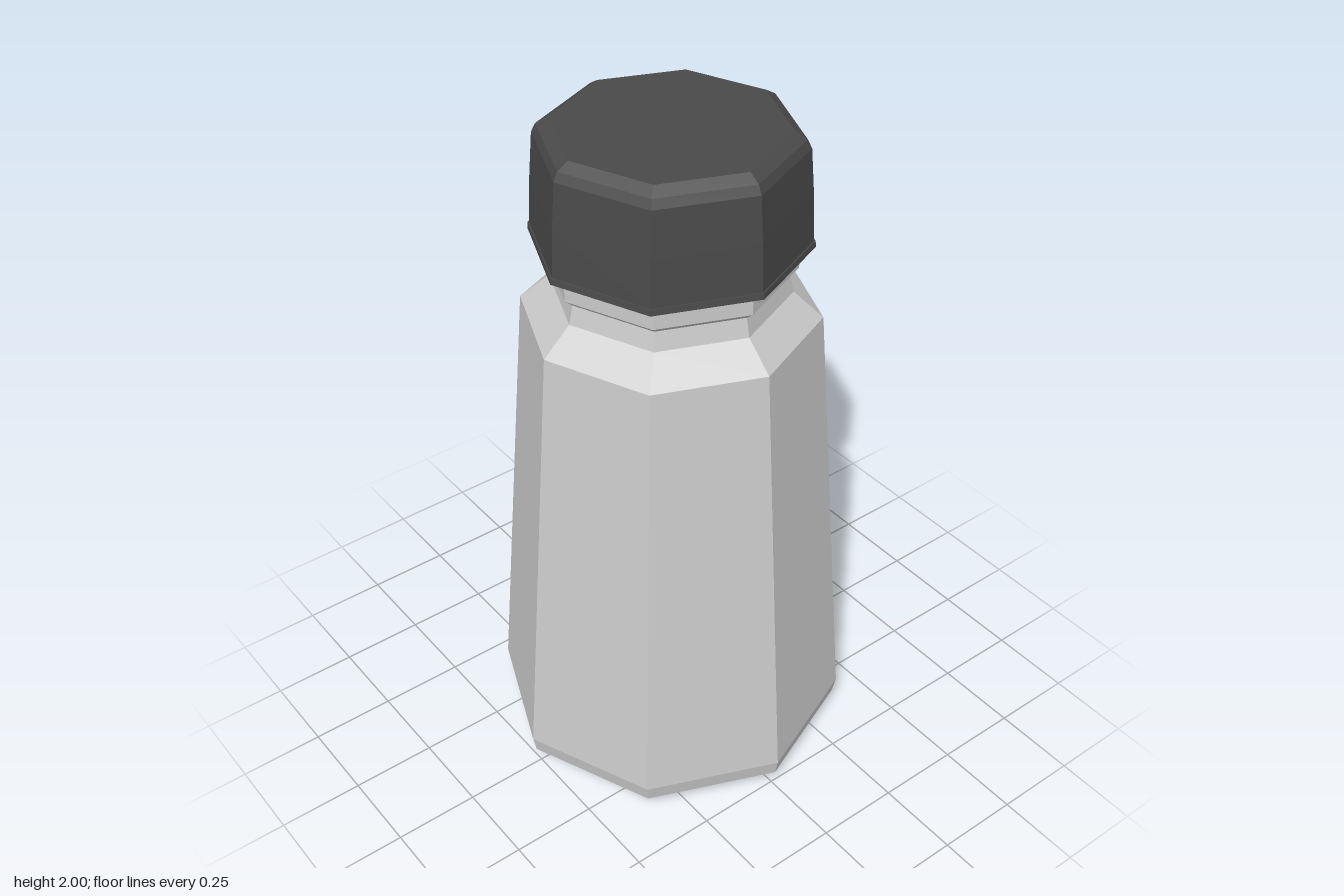
import * as THREE from 'three';

// Eight-sided turned part from [radius, height] pairs, listed bottom to top
function turned(name, profile, color) {
  const points = profile.map(([r, y]) => new THREE.Vector2(r, y));
  const mesh = new THREE.Mesh(
    new THREE.LatheGeometry(points, 8),
    new THREE.MeshStandardMaterial({ color, flatShading: true })
  );
  mesh.name = name;
  return mesh;
}

export function createModel() {
  const group = new THREE.Group();
  group.name = 'shaker';

  // Tapered body with a recessed foot, sloped shoulder and ringed neck
  group.add(turned('body', [
    [0, 0], [0.465, 0], [0.465, 0.04], [0.515, 0.055], [0.525, 0.105],
    [0.413, 1.455], [0.33, 1.53], [0.318, 1.585], [0.341, 1.605],
    [0.341, 1.66], [0.31, 1.68], [0, 1.68],
  ], 0xcccccc));

  // Dark cap with a small lip and bevelled top
  group.add(turned('cap', [
    [0, 1.67], [0.372, 1.67], [0.382, 1.672], [0.38, 1.69], [0.376, 1.69],
    [0.369, 1.825], [0.358, 1.955], [0.346, 1.98], [0.314, 2], [0, 2],
  ], 0x4a4a4a));

  return group;
}
